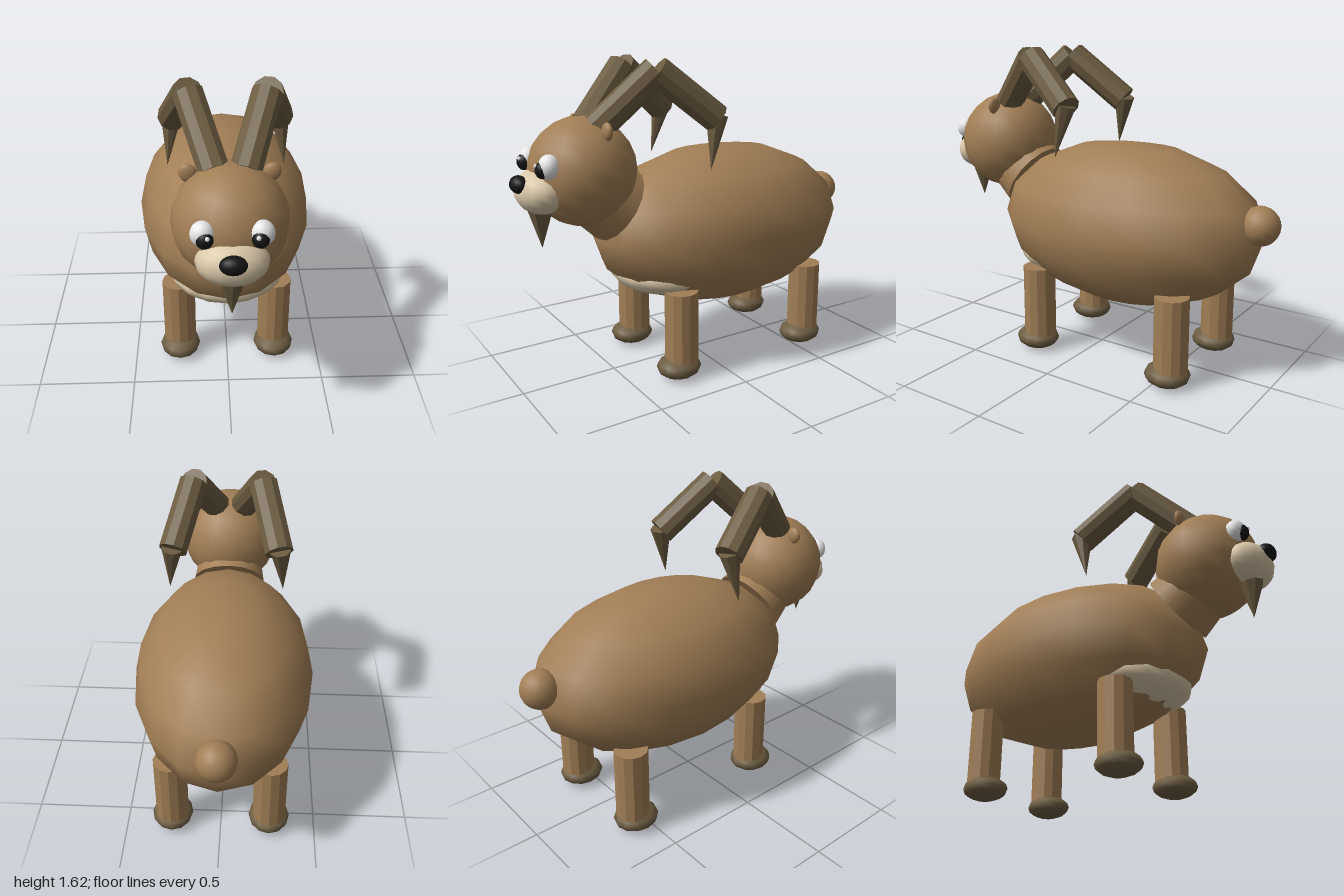
import * as THREE from 'three';

export function createModel() {
  const model = new THREE.Group();
  model.name = 'goat';

  const mat = (name, color) => {
    const m = new THREE.MeshStandardMaterial({ color });
    m.name = name;
    return m;
  };
  const fur = mat('brown fur', 0xa17e55);
  const horn = mat('dark horn', 0x6c5c41);
  const cream = mat('cream fur', 0xd9c7a8);
  const white = mat('eye white', 0xf4f4f4);
  const black = mat('black', 0x141414);

  const add = (name, geometry, material, pos) => {
    const mesh = new THREE.Mesh(geometry, material);
    mesh.name = name;
    mesh.position.set(...pos);
    model.add(mesh);
    return mesh;
  };

  // Smooth ellipsoid with radii [x, y, z]
  const ellipsoid = (name, material, pos, radii, w = 16, h = 12) => {
    const g = new THREE.SphereGeometry(1, w, h);
    const mesh = add(name, g, material, pos);
    mesh.scale.set(...radii);
    return mesh;
  };

  // Faceted tapered rod running from point a to point b
  const rod = (name, material, a, b, ra, rb, sides = 12) => {
    const from = new THREE.Vector3(...a);
    const dir = new THREE.Vector3(...b).sub(from);
    const g = new THREE.CylinderGeometry(rb, ra, dir.length(), sides).toNonIndexed();
    g.computeVertexNormals();
    const mid = from.clone().addScaledVector(dir, 0.5);
    const mesh = add(name, g, material, mid.toArray());
    mesh.quaternion.setFromUnitVectors(new THREE.Vector3(0, 1, 0), dir.normalize());
    return mesh;
  };

  // Trunk, chest patch and tail
  ellipsoid('body', fur, [0, 0.725, -0.17], [0.465, 0.425, 0.75], 16, 8);
  ellipsoid('chestPatch', cream, [0, 0.52, 0.2], [0.3, 0.12, 0.27], 16, 12);
  ellipsoid('tail', fur, [0, 0.81, -0.903], [0.097, 0.097, 0.097]);

  // Neck and head
  const neck = add('neck', new THREE.CylinderGeometry(0.155, 0.2, 0.3, 16), fur, [0, 0.979, 0.578]);
  neck.rotation.x = 0.97;
  ellipsoid('head', fur, [0, 1.088, 0.637], [0.268, 0.268, 0.268]);
  ellipsoid('muzzle', cream, [0, 1.016, 0.855], [0.162, 0.109, 0.118]);
  ellipsoid('nose', black, [0, 1.06, 0.958], [0.06, 0.043, 0.042]);
  rod('beard', horn, [0, 0.94, 0.86], [0, 0.735, 0.86], 0.067, 0, 8);

  for (const s of [1, -1]) {
    const side = s > 0 ? 'left' : 'right';

    // Eyes
    ellipsoid(side + 'Eye', white, [s * 0.125, 1.152, 0.855], [0.055, 0.059, 0.05]);
    ellipsoid(side + 'Pupil', black, [s * 0.117, 1.14, 0.887], [0.038, 0.04, 0.032]);
    ellipsoid(side + 'EyeGlint', white, [s * 0.106, 1.16, 0.911], [0.011, 0.011, 0.01], 8, 6);

    // Ears
    const ear = ellipsoid(side + 'Ear', fur, [s * 0.185, 1.298, 0.588], [0.041, 0.045, 0.022]);
    ear.rotation.z = -s * 0.4;

    // Horns: two rods and a hanging tip
    const bend = [s * 0.18, 1.565, 0.32];
    const end = [s * 0.267, 1.328, 0.035];
    rod(side + 'HornBase', horn, [s * 0.068, 1.3, 0.585], bend, 0.074, 0.074, 10);
    rod(side + 'HornMiddle', horn, bend, end, 0.074, 0.074, 10);
    rod(side + 'HornTip', horn, [s * 0.27, 1.342, 0.035], [s * 0.297, 1.08, 0.086], 0.055, 0, 8);

    // Legs and hooves
    for (const [place, z] of [['Front', 0.235], ['Back', -0.58]]) {
      rod(side + place + 'Leg', fur, [s * 0.257, 0.06, z], [s * 0.257, 0.468, z], 0.086, 0.086, 12);
      ellipsoid(side + place + 'Hoof', horn, [s * 0.257, 0.06, z + 0.017], [0.108, 0.06, 0.118], 12, 8);
    }
  }

  return model;
}
